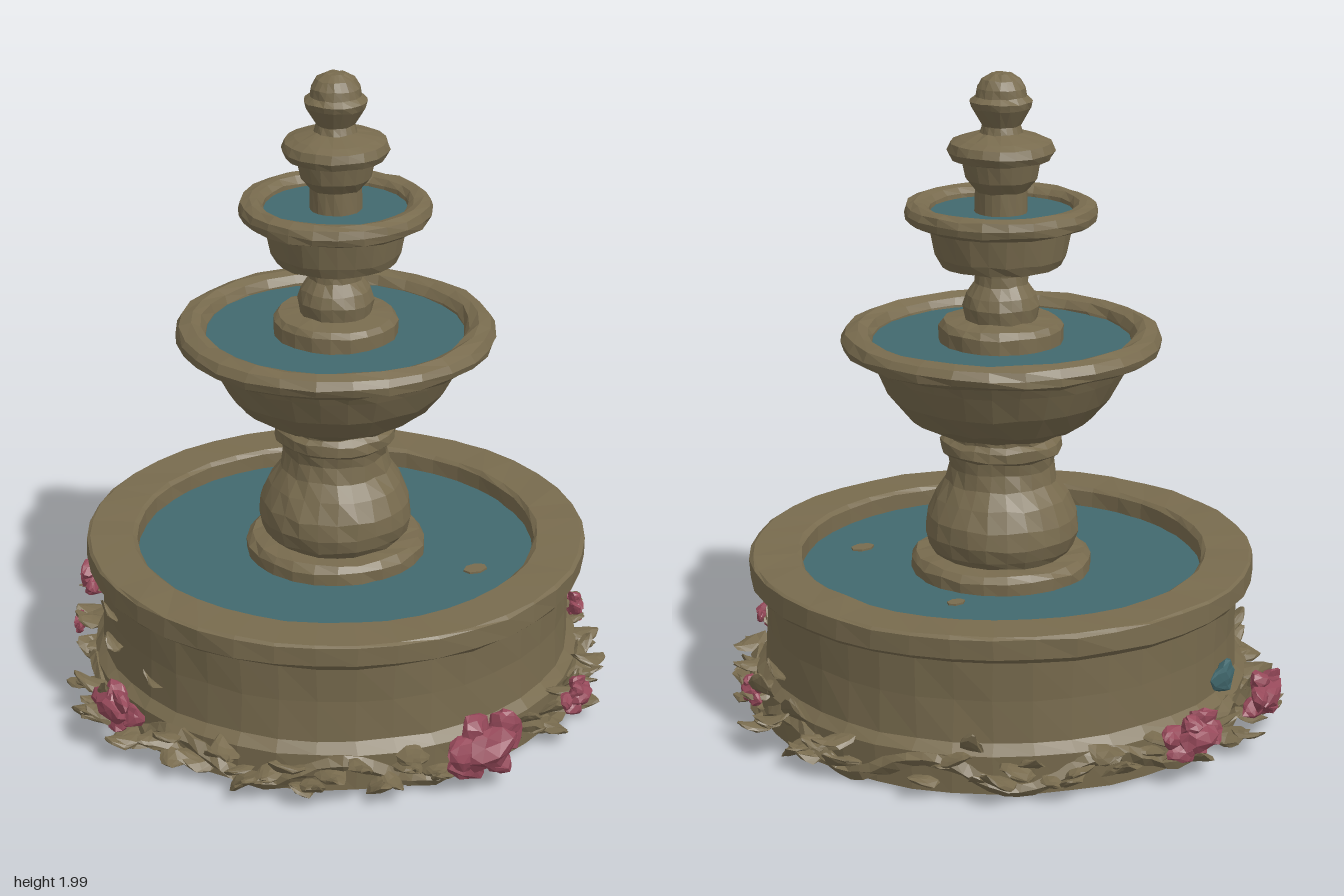
import * as THREE from 'three';

const mat = (name, color) => {
  const m = new THREE.MeshStandardMaterial({ color, flatShading: true });
  m.name = name;
  return m;
};

// Small seeded random generator
function seeded(seed) {
  let s = seed;
  return () => {
    s = (s * 16807) % 2147483647;
    return s / 2147483647;
  };
}

// Repeatable noise from a position, so shared corners move together
function noise(x, y, z, k) {
  const r = (v) => Math.round(v * 1000) / 1000 + 0;
  const n = Math.sin(r(x) * 127.1 + r(y) * 311.7 + r(z) * 74.7 + k * 19.3) * 43758.5453;
  return (n - Math.floor(n)) * 2 - 1;
}

// Roughens a geometry to look hand carved
function roughen(geo, amount, k = 1) {
  const p = geo.attributes.position;
  for (let i = 0; i < p.count; i++) {
    const x = p.getX(i), y = p.getY(i), z = p.getZ(i);
    p.setXYZ(i,
      x + noise(x, y, z, k) * amount,
      y + noise(x, y, z, k + 1) * amount,
      z + noise(x, y, z, k + 2) * amount);
  }
  geo.computeVertexNormals();
  return geo;
}

// Crumpled leaf or petal: long in z, thin in y, tapered and curled
function leafGeometry(width, thick, length, curl, k) {
  const geo = roughen(new THREE.IcosahedronGeometry(1, 1), 0.16, k);
  const p = geo.attributes.position;
  for (let i = 0; i < p.count; i++) {
    const x = p.getX(i), y = p.getY(i), z = p.getZ(i);
    const taper = 1 - 0.35 * Math.max(z, 0);
    p.setXYZ(i, x * width * taper, y * thick + curl * (z * z - 0.4) - x * x * thick * 0.5, z * length);
  }
  geo.computeVertexNormals();
  return geo;
}

export function createModel() {
  const model = new THREE.Group();
  const stone = mat('stone', 0x786b4e);
  const water = mat('water', 0x42696e);
  const rose = mat('rose', 0x96495a);

  const fountain = new THREE.Group();
  fountain.name = 'fountain';
  fountain.position.set(0.01, 0, -0.025);
  model.add(fountain);

  const add = (parent, name, geo, material) => {
    const mesh = new THREE.Mesh(geo, material);
    mesh.name = name;
    parent.add(mesh);
    return mesh;
  };
  const turned = (name, points, segments, rough) => {
    const pts = points.map(([r, y]) => new THREE.Vector2(r, y));
    return add(fountain, name, roughen(new THREE.LatheGeometry(pts, segments), rough), stone);
  };

  // Ground basin with plinth, wall and overhanging rim
  turned('basin', [[0, 0.02], [0.76, 0.02], [0.765, 0.14], [0.735, 0.17], [0.73, 0.3], [0.735, 0.42],
    [0.765, 0.43], [0.78, 0.445], [0.78, 0.505], [0.77, 0.512], [0.635, 0.512], [0.622, 0.5], [0.62, 0.42]], 40, 0.003);

  // Pedestal with its foot ring and vase-shaped body
  turned('pedestal', [[0.28, 0.43], [0.28, 0.485], [0.262, 0.505], [0.21, 0.51], [0.225, 0.53], [0.24, 0.575],
    [0.232, 0.63], [0.205, 0.69], [0.172, 0.74], [0.162, 0.79], [0.168, 0.825], [0.186, 0.84], [0.186, 0.87],
    [0.17, 0.885], [0.175, 0.92]], 24, 0.004);

  // Large bowl
  turned('largeBowl', [[0, 0.912], [0.22, 0.912], [0.285, 0.95], [0.345, 1.02], [0.385, 1.1], [0.405, 1.145],
    [0.455, 1.148], [0.484, 1.163], [0.49, 1.188], [0.475, 1.212], [0.44, 1.222], [0.41, 1.21], [0.395, 1.185], [0.39, 1.15]], 28, 0.004);

  // Middle column standing in the large bowl
  turned('middleColumn', [[0.19, 1.15], [0.19, 1.225], [0.175, 1.243], [0.11, 1.25], [0.117, 1.29], [0.105, 1.325],
    [0.082, 1.36], [0.08, 1.39], [0.087, 1.43]], 20, 0.003);

  // Small bowl
  turned('smallBowl', [[0, 1.42], [0.185, 1.42], [0.2, 1.45], [0.218, 1.545], [0.265, 1.546], [0.287, 1.558],
    [0.292, 1.58], [0.285, 1.603], [0.26, 1.612], [0.235, 1.606], [0.218, 1.59], [0.214, 1.555]], 24, 0.003);

  // Top column, collar and finial
  turned('finial', [[0.08, 1.56], [0.08, 1.645], [0.108, 1.68], [0.12, 1.735], [0.15, 1.742], [0.162, 1.765],
    [0.153, 1.79], [0.125, 1.803], [0.065, 1.82], [0.058, 1.842], [0.09, 1.895], [0.096, 1.915], [0.078, 1.93],
    [0.074, 1.955], [0.058, 1.98], [0.03, 1.996], [0, 2]], 20, 0.002);

  // Water surfaces
  [['basinWater', 0.63, 0.45], ['largeBowlWater', 0.402, 1.18], ['smallBowlWater', 0.222, 1.578]].forEach(([name, r, y]) => {
    const disc = add(fountain, name, new THREE.CircleGeometry(r, 36), water);
    disc.rotation.x = -Math.PI / 2;
    disc.position.y = y;
  });

  // Pebbles breaking the basin water
  [[0.3, -0.2, 0.03], [0.28, 0.37, 0.04]].forEach(([x, z, r]) => {
    const pebble = add(fountain, 'pebble', new THREE.CylinderGeometry(r, r, 0.008, 7), stone);
    pebble.position.set(x, 0.452, z);
    pebble.scale.z = 0.7;
  });

  // Foliage around the plinth; one reach value every 15 degrees from the front towards +x
  const foliage = new THREE.Group();
  foliage.name = 'foliage';
  model.add(foliage);
  const rand = seeded(77);
  const reach = [0.82, 0.8, 0.83, 0.85, 0.83, 0.84, 0.89, 0.86, 0.78, 0.84, 0.87, 0.86,
    0.85, 0.9, 0.92, 0.85, 0.79, 0.86, 0.9, 0.85, 0.81, 0.85, 0.85, 0.82];
  const placeLeaf = (angle, radius, y, size, pitch, k) => {
    const leaf = add(foliage, 'leaf', leafGeometry(size * 0.75, size * 0.2, size, size * 0.25, k), stone);
    leaf.position.set(radius * Math.sin(angle), y, radius * Math.cos(angle));
    leaf.rotation.set(pitch, angle + (rand() - 0.5) * 1.6, (rand() - 0.5) * 0.9, 'YXZ');
  };
  reach.forEach((r, i) => {
    for (let j = 0; j < 4; j++) {
      const angle = THREE.MathUtils.degToRad(i * 15 + (j - 1.5) * 4 + (rand() - 0.5) * 4);
      const size = 0.05 + rand() * 0.025;
      const out = r - size * 0.8 - (j % 2) * 0.02;
      placeLeaf(angle, out, 0.06 + (j % 3) * 0.033 + rand() * 0.02, size, (rand() - 0.6) * 0.8, i * 4 + j);
    }
  });
  // Raised sprigs: angle in degrees, radius, height, size
  [[88, 0.84, 0.22, 0.06], [96, 0.8, 0.17, 0.06], [84, 0.77, 0.24, 0.045], [272, 0.82, 0.18, 0.06], [264, 0.76, 0.3, 0.04],
    [258, 0.74, 0.36, 0.045], [280, 0.75, 0.26, 0.04], [210, 0.84, 0.17, 0.06], [140, 0.79, 0.18, 0.05], [35, 0.78, 0.16, 0.05],
  ].forEach(([deg, r, y, s], i) => placeLeaf(THREE.MathUtils.degToRad(deg), r, y, s, -0.9, 200 + i));

  // Creeping stem tying the foliage together
  const stemPoints = [];
  for (let i = 0; i < 48; i++) {
    const a = (i / 48) * Math.PI * 2;
    stemPoints.push(new THREE.Vector3(0.01 + 0.765 * Math.sin(a), 0.08 + 0.045 * Math.sin(a * 9), -0.02 + 0.765 * Math.cos(a)));
  }
  const stemCurve = new THREE.CatmullRomCurve3(stemPoints, true);
  add(foliage, 'stem', roughen(new THREE.TubeGeometry(stemCurve, 120, 0.024, 5, true), 0.006), stone);

  // Blossoms: x, y, z, half width, half height
  [[0.01, 0.155, 0.81, 0.155, 0.115], [0.41, 0.15, 0.71, 0.09, 0.055], [-0.815, 0.165, 0.07, 0.11, 0.075],
    [-0.1, 0.15, -0.85, 0.125, 0.075], [-0.45, 0.16, -0.74, 0.12, 0.075], [0.77, 0.13, 0.2, 0.075, 0.05],
    [-0.6, 0.08, -0.61, 0.045, 0.04],
  ].forEach(([x, y, z, w, h], n) => {
    const flower = new THREE.Group();
    flower.name = 'blossom';
    flower.position.set(x, y, z);
    flower.rotation.y = Math.atan2(x, z);
    flower.scale.set(w, h, Math.min(w * 0.6, 0.085));
    foliage.add(flower);
    add(flower, 'blossomHeart', roughen(new THREE.IcosahedronGeometry(0.6, 1), 0.1, n), rose).position.z = 0.35;
    for (let i = 0; i < 6; i++) {
      const a = (i / 6) * Math.PI * 2 + n;
      const petal = add(flower, 'petal', leafGeometry(0.45, 0.3, 0.48, 0.12, 300 + n * 6 + i), rose);
      petal.position.set(Math.cos(a) * 0.55, Math.sin(a) * 0.55, (i % 2) * 0.3);
      petal.rotation.set(0.5 * Math.sin(a) + 1.2, 0, a);
    }
  });

  // Wet patch on the back of the wall
  const patch = add(foliage, 'wetPatch', leafGeometry(0.07, 0.025, 0.05, 0.01, 9), water);
  patch.position.set(-0.37, 0.21, -0.67);
  patch.rotation.set(Math.PI / 2, Math.atan2(-0.37, -0.67), 0, 'YXZ');

  return model;
}
